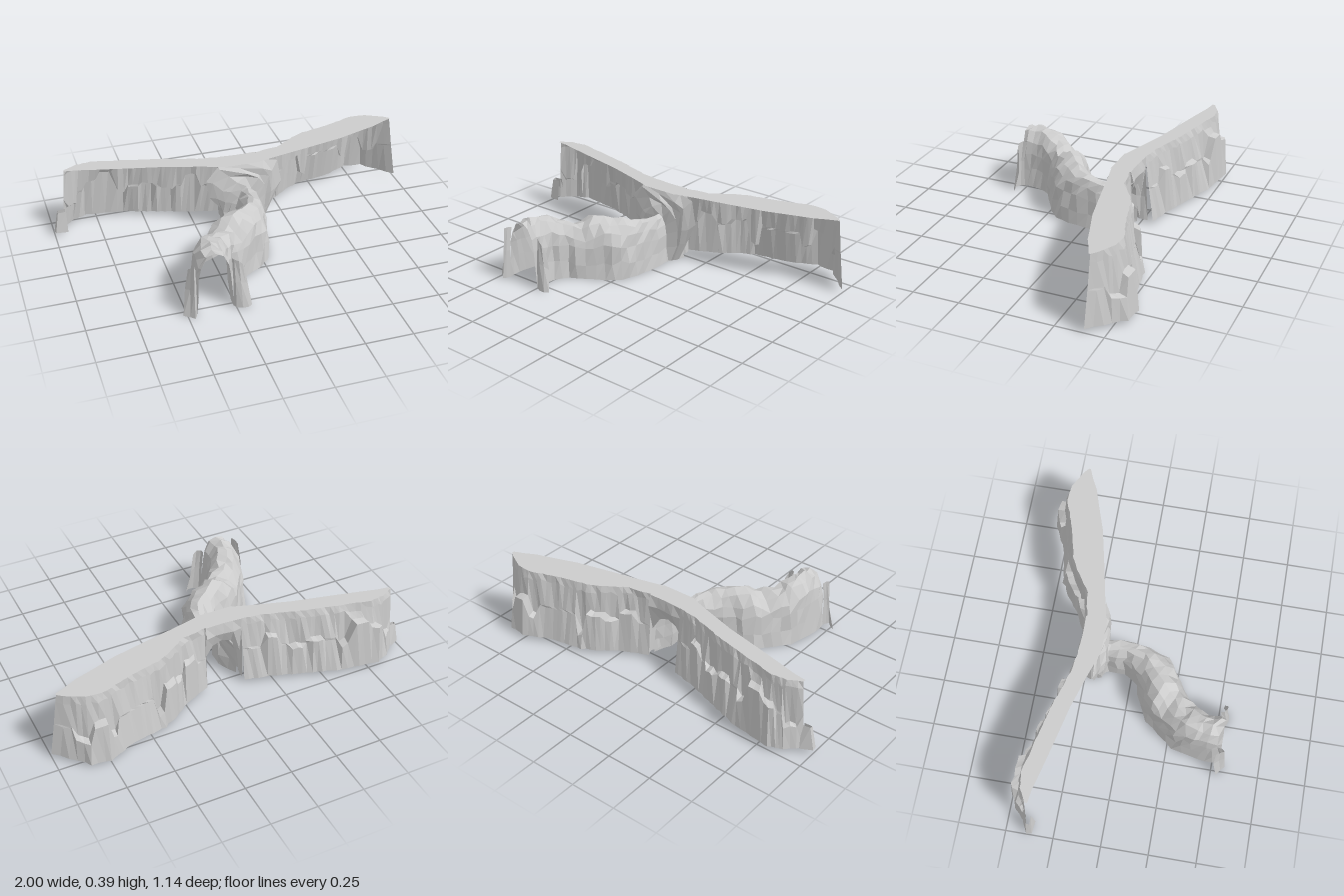
import * as THREE from 'three';

const rock = new THREE.MeshStandardMaterial({ color: 0xcccccc, flatShading: true, side: THREE.DoubleSide });
const { lerp } = THREE.MathUtils;

// Repeatable noise in -1..1
const noise = (a, b) => {
  const s = Math.sin(a * 127.1 + b * 311.7) * 43758.5453;
  return (s - Math.floor(s)) * 2 - 1;
};

// Faceted sheet through rows of [x, y, z] points
function sheet(name, rows) {
  const cols = rows[0].length, index = [];
  for (let i = 0; i < rows.length - 1; i++) {
    for (let j = 0; j < cols - 1; j++) {
      const a = i * cols + j, b = a + cols;
      index.push(a, b, a + 1, a + 1, b, b + 1);
    }
  }
  const geo = new THREE.BufferGeometry();
  geo.setAttribute('position', new THREE.Float32BufferAttribute(rows.flat(2), 3));
  geo.setIndex(index);
  const flat = geo.toNonIndexed();
  flat.computeVertexNormals();
  const mesh = new THREE.Mesh(flat, rock);
  mesh.name = name;
  return mesh;
}

// Subdivides a list of stations to roughly even spacing
function resample(stations, spacing) {
  const out = [];
  for (let i = 0; i < stations.length - 1; i++) {
    const a = stations[i], b = stations[i + 1];
    const steps = Math.max(1, Math.round(Math.hypot(b[0] - a[0], b[1] - a[1]) / spacing));
    for (let k = 0; k < steps; k++) out.push(a.map((v, n) => lerp(v, b[n], k / steps)));
  }
  out.push(stations[stations.length - 1]);
  return out;
}

// Cliff wing: flat top strip, then a steep back wall with stepped rock pillars.
// Stations: front lip x z, back rim x z, foot x z. Pillars: x from, x to, ledge height
function cliffWing(name, stations, pillars, seed) {
  const cols = resample(stations, 0.026);
  const last = cols.length - 1;
  const rows = cols.map(([fx, fz, tx, tz, bx, bz], i) => {
    const edge = i === 0 || i === last ? 0 : 1;
    const pillar = pillars.find(([from, to]) => tx >= from && tx < to);
    const ledge = pillar ? pillar[2] + 0.01 * noise(i, seed) : 0.2;
    const at = (y, out, amp, k) => [
      lerp(tx, bx, out) + edge * 0.004 * noise(i, seed + k),
      y,
      lerp(tz, bz, out) + edge * amp * noise(i, seed + k + 9),
    ];
    return [
      [fx, 0.39, fz],
      at(0.39, 0, 0.003, 1),
      at(0.35 + edge * 0.012 * noise(i, seed + 4), 0.12, 0.006, 2),
      at(ledge + 0.012, pillar ? 0.32 : 0.46, 0.005, 3),
      at(ledge, pillar ? 0.8 : 0.5, 0.005, 4),
      at(0.02, 1, 0.005, 5),
    ];
  });
  return sheet(name, rows);
}

// Arch cross-section: fraction across, fraction of height
const ARCH = [[0, 0], [0.03, 0.3], [0.07, 0.6], [0.13, 0.78], [0.3, 0.95], [0.52, 1],
  [0.72, 0.95], [0.88, 0.78], [0.93, 0.6], [0.97, 0.3], [1, 0]];

function archRow([lx, lz, rx, rz, h], i, rough) {
  return ARCH.map(([u, v], j) => {
    const n = rough * (v === 0 ? 0.4 : 1);
    return [
      lerp(lx, rx, u) + n * 0.01 * noise(i, j),
      v * h + (v > 0.1 ? n * 0.012 * noise(i, j + 20) : 0),
      lerp(lz, rz, u) + n * 0.014 * noise(i, j + 40),
    ];
  });
}

export function createModel() {
  const model = new THREE.Group();
  model.name = 'rockTunnelAndCliffs';

  // Two cliff wings, open towards the front
  model.add(cliffWing('cliffWingLeft', [
    [0.1, -0.16, 0.1, -0.26, 0.1, -0.29], [0.23, -0.19, 0.23, -0.285, 0.25, -0.355],
    [0.35, -0.215, 0.35, -0.36, 0.35, -0.43], [0.42, -0.23, 0.42, -0.395, 0.42, -0.47],
    [0.6, -0.27, 0.6, -0.44, 0.6, -0.5],
    [0.75, -0.32, 0.75, -0.49, 0.75, -0.57], [0.83, -0.345, 0.83, -0.485, 0.85, -0.555],
    [0.9, -0.38, 0.89, -0.45, 0.93, -0.47], [0.95, -0.4, 0.95, -0.41, 1, -0.4],
  ], [
    [0.17, 0.25, 0.26], [0.27, 0.32, 0.2], [0.32, 0.41, 0.225], [0.41, 0.47, 0.1],
    [0.68, 0.73, 0.13], [0.73, 0.81, 0.23], [0.81, 0.87, 0.14],
  ], 3));
  model.add(cliffWing('cliffWingRight', [
    [-0.92, -0.37, -0.92, -0.385, -0.95, -0.4],
    [-0.85, -0.36, -0.85, -0.42, -0.88, -0.47], [-0.75, -0.335, -0.77, -0.43, -0.81, -0.5],
    [-0.6, -0.3, -0.6, -0.395, -0.6, -0.475], [-0.4, -0.255, -0.4, -0.345, -0.4, -0.405],
    [-0.22, -0.2, -0.22, -0.29, -0.22, -0.35], [-0.1, -0.16, -0.1, -0.27, -0.1, -0.32],
  ], [
    [-0.9, -0.83, 0.14], [-0.8, -0.73, 0.25], [-0.73, -0.64, 0.3], [-0.64, -0.58, 0.17],
    [-0.52, -0.45, 0.22], [-0.4, -0.33, 0.18], [-0.28, -0.2, 0.27],
  ], 17));

  // Low broken rock at the outer foot of the right wing
  model.add(sheet('footRock', [
    [[-0.93, 0.02, -0.355], [-0.93, 0.14, -0.37]],
    [[-0.995, 0.02, -0.362], [-0.975, 0.14, -0.368]],
    [[-1, 0.02, -0.39], [-0.975, 0.145, -0.388]],
    [[-0.94, 0.02, -0.42], [-0.93, 0.145, -0.395]],
  ]));

  // Lintel joining the wings above the rear cave mouth
  const lintel = [-0.1, -0.05, 0, 0.05, 0.1].map((x, i) => [
    [x, 0.39, -0.155], [x, 0.39, -0.268 + 0.005 * noise(i, 2)],
    [x, 0.33, -0.275 + 0.01 * noise(i, 5)],
    [x * 1.03, [0.17, 0.25, 0.27, 0.25, 0.17][i], -0.25],
  ]);
  model.add(sheet('caveLintel', lintel));

  // Craggy side walls of the rear cave, running back into the wings
  for (const side of [-1, 1]) {
    model.add(sheet(side > 0 ? 'caveJambLeft' : 'caveJambRight', [-0.185, -0.215, -0.245, -0.268, -0.29].map((z, i) =>
      [0.02, 0.15, 0.27, 0.39].map((y, j) => [
        side * (0.11 + (i % 4 ? 0.012 * noise(i, j + side) : -0.008)), y, z + j * (i === 4 ? 0.008 : 0.003),
      ]))));
  }

  // Winding tunnel: left foot x z, right foot x z, height
  const tunnel = resample([
    [-0.45, 0.535, -0.26, 0.53, 0.335], [-0.46, 0.46, -0.26, 0.47, 0.34],
    [-0.445, 0.38, -0.25, 0.41, 0.33], [-0.42, 0.28, -0.2, 0.35, 0.305],
    [-0.355, 0.2, -0.12, 0.3, 0.265], [-0.29, 0.12, -0.035, 0.25, 0.31],
    [-0.2, 0.07, 0.03, 0.19, 0.3], [-0.1, 0.03, 0.06, 0.1, 0.285],
    [-0.05, -0.04, 0.075, 0, 0.28], [-0.05, -0.13, 0.075, -0.13, 0.265],
    [-0.1, -0.23, 0.115, -0.23, 0.27],
  ], 0.05);
  model.add(sheet('tunnel', tunnel.map((s, i) => archRow(s, i, i === 0 || i === tunnel.length - 1 ? 0.3 : 1))));

  // Curled rock flanges either side of the front mouth: x, z, height, lean
  const flange = (name, path) => model.add(sheet(name, path.map(([x, z, h, lean], i) =>
    [[x, 0, z], [x + lean * 0.5, h * 0.55, z - 0.006 * i], [x + lean, h, z - 0.02]])));
  flange('mouthFlangeLeft', [[-0.26, 0.52, 0.27, 0], [-0.25, 0.54, 0.275, -0.005],
    [-0.22, 0.555, 0.27, -0.015], [-0.19, 0.555, 0.25, -0.025], [-0.17, 0.54, 0.21, -0.03]]);
  flange('mouthFlangeRight', [[-0.45, 0.53, 0.28, 0], [-0.46, 0.555, 0.285, 0.005],
    [-0.47, 0.57, 0.28, 0.005], [-0.49, 0.55, 0.275, 0.015], [-0.52, 0.53, 0.26, 0.035]]);

  // Rough collar of boulders where the tunnel meets the cliffs
  const rim = [[-0.1, 0.01], [-0.12, 0.12], [-0.18, 0.2], [-0.2, 0.3], [-0.13, 0.385], [0, 0.39],
    [0.12, 0.39], [0.2, 0.37], [0.225, 0.24], [0.18, 0.14], [0.12, 0.01]];
  const inner = archRow([-0.05, -0.13, 0.075, -0.13, 0.265], 18, 0.5);
  const collar = [0, 0.3, 0.55, 0.8, 1].map((t, k) => inner.map((p, j) => {
    const rough = k % 4 && j % 10 ? 0.022 : 0;
    return [
      lerp(p[0], rim[j][0], t) + rough * noise(j, k),
      lerp(p[1], rim[j][1], t) + rough * 0.8 * noise(j, k + 7),
      [-0.135, -0.15, -0.155, -0.16, -0.18][k] + rough * 0.8 * noise(j, k + 13),
    ];
  }));
  model.add(sheet('portalCollar', collar));

  return model;
}
